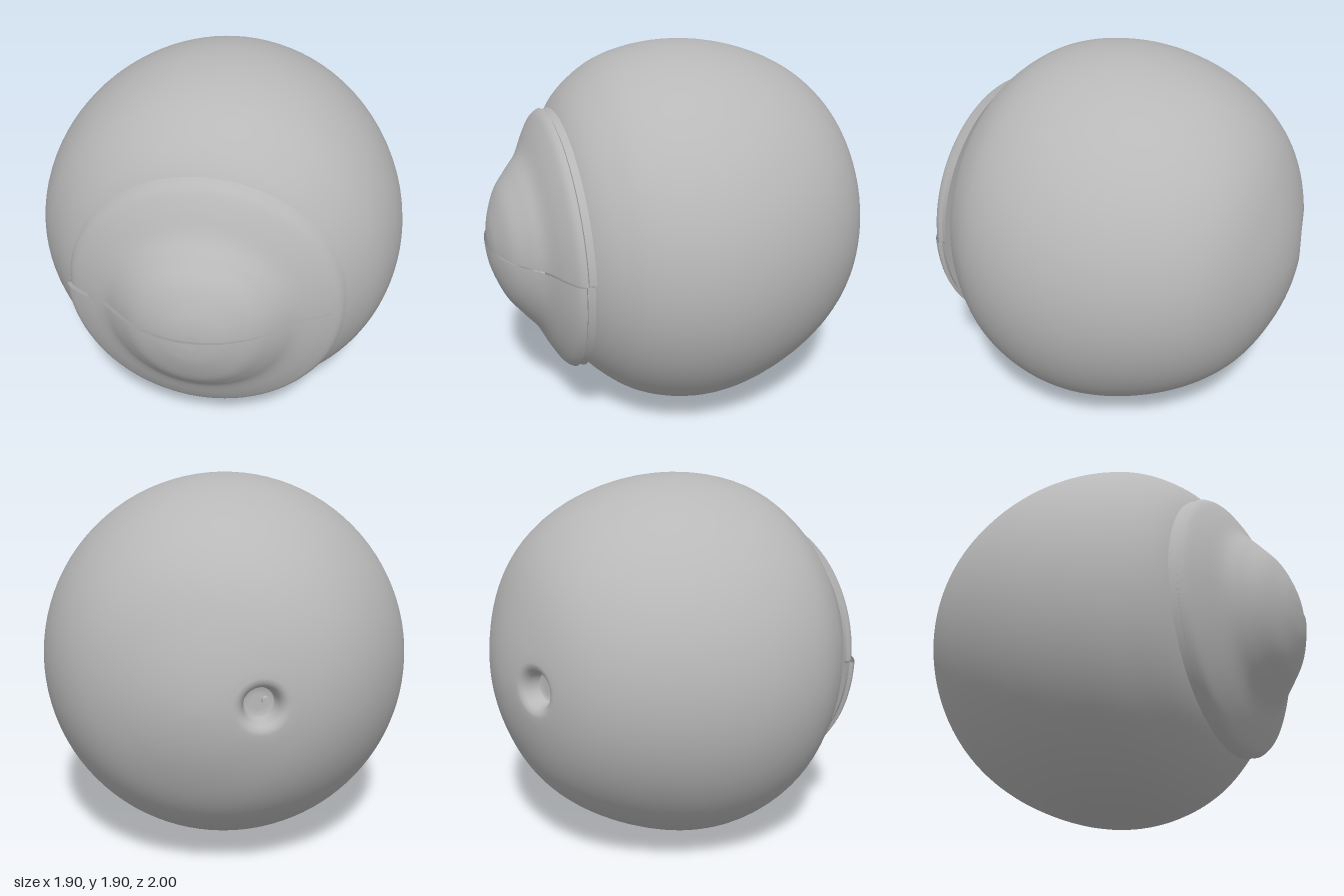
import * as THREE from 'three';
import { mergeVertices } from 'three/addons/utils/BufferGeometryUtils.js';

const CENTRE_Y = 0.95;
const V2 = (x, y) => new THREE.Vector2(x, y);

// Radius of the eyeball by angle from the front axis
const globeProfile = [
  [0, 0.68], [0.47, 0.76], [0.82, 0.875], [1.07, 0.918], [1.25, 0.937], [1.57, 0.948],
  [1.68, 0.95], [2.0, 0.96], [2.47, 0.995], [2.8, 0.993], [Math.PI, 1.0],
];
const globeCurve = new THREE.SplineCurve(globeProfile.map(([a, r]) => V2(a, r)));
const globeTable = globeCurve.getPoints(200);

function globeRadius(dir) {
  const angle = Math.acos(THREE.MathUtils.clamp(dir.z, -1, 1));
  let i = 1;
  while (i < globeTable.length - 1 && globeTable[i].x < angle) i++;
  const a = globeTable[i - 1], b = globeTable[i];
  const r = a.y + (b.y - a.y) * (angle - a.x) / (b.x - a.x);
  // the underside is a little flatter than the top
  return r + 0.022 * dir.y * Math.sin(2 * angle) ** 2;
}

// Globe turned around the nerve pit, so its rings can sink into the surface
function globeGeometry(pitDir) {
  const pts = [];
  const steps = 72, rim = 0.135;
  for (let i = 0; i <= steps; i++) {
    const t = Math.PI + (rim - Math.PI) * i / steps;
    pts.push(V2(Math.max(0, Math.sin(t)), Math.cos(t)));
  }
  for (const [t, k] of [[0.115, 0.995], [0.098, 0.98], [0.088, 0.955], [0.08, 0.91], [0.076, 0.9], [0.04, 0.898], [0, 0.898]])
    pts.push(V2(Math.sin(t) * k, Math.cos(t) * k));
  let geo = new THREE.LatheGeometry(pts, 96);
  geo.deleteAttribute('uv');
  geo.deleteAttribute('normal');
  geo = mergeVertices(geo, 1e-5);
  geo.applyQuaternion(new THREE.Quaternion().setFromUnitVectors(new THREE.Vector3(0, 1, 0), pitDir));
  const pos = geo.attributes.position, v = new THREE.Vector3();
  for (let i = 0; i < pos.count; i++) {
    v.fromBufferAttribute(pos, i);
    v.multiplyScalar(globeRadius(v.clone().normalize()));
    pos.setXYZ(i, v.x, v.y, v.z);
  }
  geo.computeVertexNormals();
  return geo;
}

// Half of the domed front shell, with a doubled, notched rim
function shellGeometry(phiStart) {
  const rim = [V2(0.6, 0.6), V2(0.672, 0.6), V2(0.672, 0.6), V2(0.655, 0.632), V2(0.655, 0.632), V2(0.672, 0.64), V2(0.672, 0.64)];
  const dome = new THREE.SplineCurve([
    V2(0.672, 0.64), V2(0.645, 0.675), V2(0.57, 0.72), V2(0.46, 0.775), V2(0.38, 0.84),
    V2(0.28, 0.915), V2(0.15, 0.967), V2(0.06, 0.984), V2(0, 0.986),
  ]).getPoints(48);
  dome[dome.length - 1].x = 0;
  const geo = new THREE.LatheGeometry([...rim, ...dome], 64, phiStart, Math.PI);
  geo.rotateX(Math.PI / 2);
  return geo;
}

export function createModel() {
  const model = new THREE.Group();
  model.name = 'eyeball';
  const grey = new THREE.MeshStandardMaterial({ color: 0xb8b8b8, side: THREE.DoubleSide });
  grey.name = 'plain grey';

  const add = (name, geo, parent = model) => {
    const mesh = new THREE.Mesh(geo, grey);
    mesh.name = name;
    parent.add(mesh);
    return mesh;
  };

  // Globe with the nerve pit at the back
  const pitDir = new THREE.Vector3(-0.3, 0.02, -0.93).normalize();
  add('globe', globeGeometry(pitDir)).position.y = CENTRE_Y;

  // Small nub on the floor of the pit
  const nub = add('nerveNub', new THREE.CylinderGeometry(0.016, 0.018, 0.02, 20));
  nub.quaternion.setFromUnitVectors(new THREE.Vector3(0, 1, 0), pitDir);
  nub.position.copy(pitDir).multiplyScalar(0.9);
  nub.position.x -= 0.03;
  nub.position.y += CENTRE_Y + 0.01;

  // Front shell in two halves, slightly tilted, meeting at a level seam
  const front = new THREE.Group();
  front.name = 'frontShell';
  front.position.set(0.01, 0.955, 0);
  front.rotation.set(0.015, 0.036, 0.015);
  model.add(front);
  const upper = add('upperShell', shellGeometry(Math.PI / 2), front);
  upper.position.set(0.012, 0.022, 0);
  upper.scale.set(1, 0.95, 1);
  const lower = add('lowerShell', shellGeometry(-Math.PI / 2), front);
  lower.position.set(0.004, 0.018, 0.01);
  lower.scale.set(1.012, 1.03, 1);

  return model;
}
